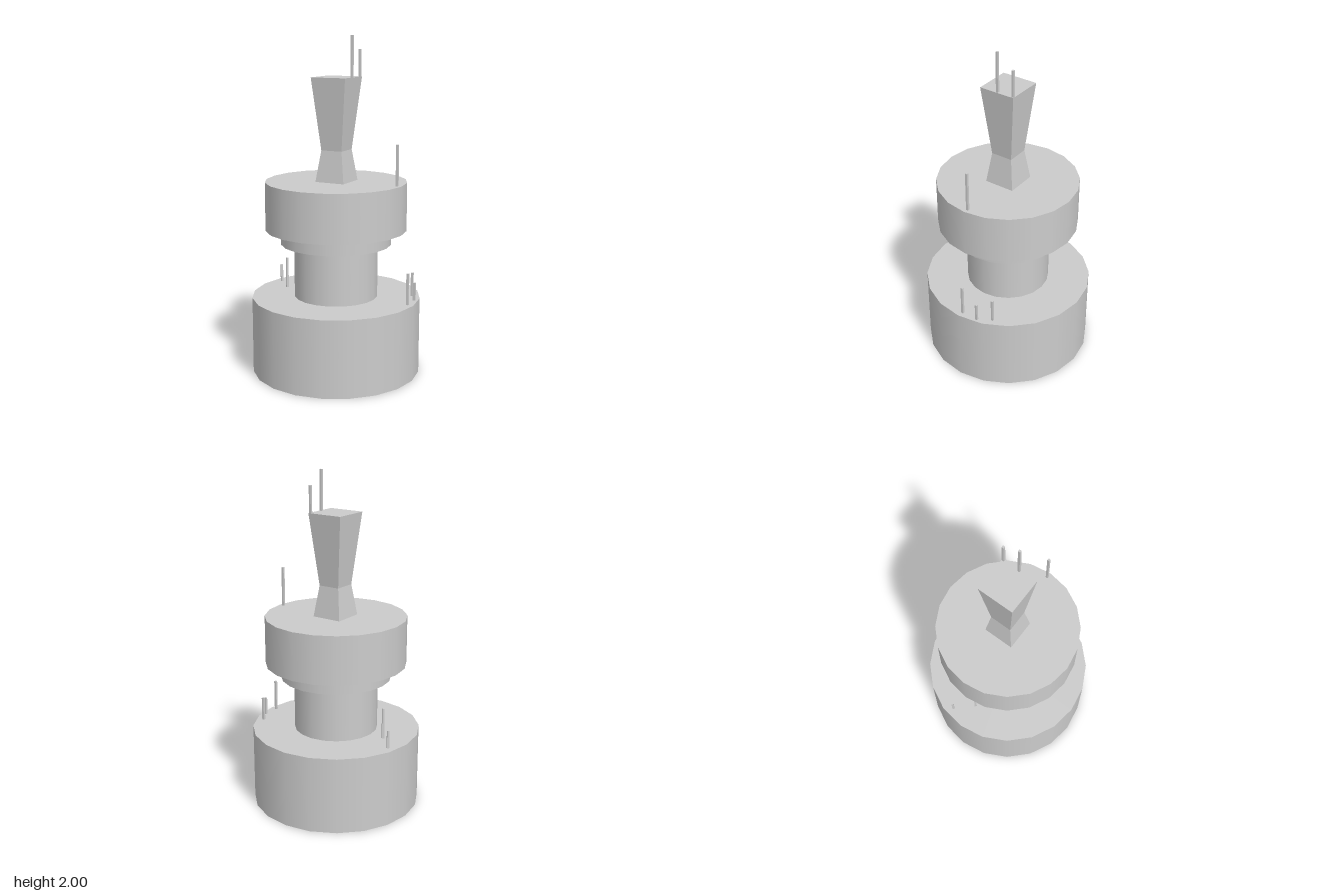
import * as THREE from 'three';

const grey = new THREE.MeshStandardMaterial({ color: 0xcccccc });
const flatGrey = new THREE.MeshStandardMaterial({ color: 0xcccccc, flatShading: true });

export function createModel() {
  const model = new THREE.Group();
  model.name = 'tower';

  const add = (name, geometry, material, x, y, z) => {
    const mesh = new THREE.Mesh(geometry, material);
    mesh.name = name;
    mesh.position.set(x, y, z);
    model.add(mesh);
    return mesh;
  };

  // Stacked round body: name, radius, bottom, top
  const drums = [
    ['base', 0.504, 0, 0.46],
    ['column', 0.25, 0.46, 0.78],
    ['collar', 0.329, 0.78, 0.867],
    ['upperDrum', 0.42, 0.867, 1.155],
  ];
  for (const [name, r, y0, y1] of drums) {
    add(name, new THREE.CylinderGeometry(r, r, y1 - y0, 20), grey, 0, (y0 + y1) / 2, 0);
  }

  // Square mast, pinched at the waist: each ring is [y, half width]
  const rings = [[1.155, 0.092], [1.34, 0.066], [1.763, 0.11]];
  const mast = new THREE.BoxGeometry(2, 2, 2, 1, 2, 1);
  const p = mast.attributes.position;
  for (let i = 0; i < p.count; i++) {
    const [y, half] = rings[Math.round(p.getY(i)) + 1];
    p.setXYZ(i, p.getX(i) * half, y, p.getZ(i) * half);
  }
  mast.computeVertexNormals();
  add('mast', mast, flatGrey, 0.002, 0, -0.003);

  // Thin square antennas: x, z, bottom, top, turned by 45 degrees
  const antennas = [
    [0.102, -0.003, 1.763, 2, false],
    [0.102, -0.105, 1.763, 1.92, false],
    [0.391, -0.003, 1.155, 1.393, false],
    [0.466, -0.003, 0.46, 0.647, false],
    [0.466, -0.105, 0.46, 0.567, false],
    [0.418, -0.185, 0.46, 0.602, false],
    [-0.441, -0.105, 0.46, 0.567, true],
    [-0.341, -0.003, 0.46, 0.647, true],
  ];
  for (const [x, z, y0, y1, turned] of antennas) {
    const rod = add('antenna', new THREE.BoxGeometry(0.0135, y1 - y0, 0.0135), flatGrey, x, (y0 + y1) / 2, z);
    if (turned) rod.rotation.y = Math.PI / 4;
  }

  return model;
}
